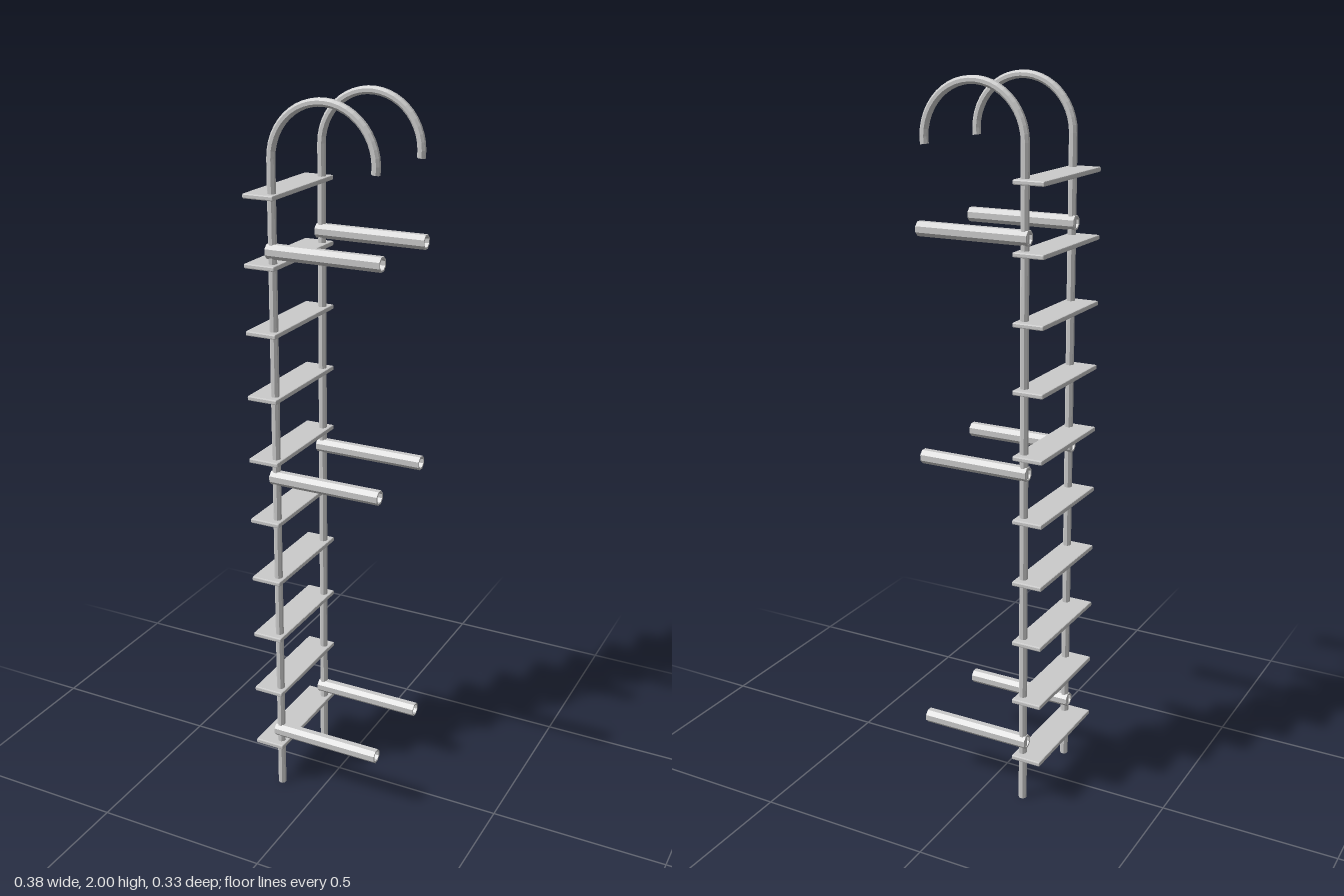
import * as THREE from 'three';
import { RoundedBoxGeometry } from 'three/addons/geometries/RoundedBoxGeometry.js';

const RAIL_X = -0.122, RAIL_Z = 0.136, RAIL_R = 0.0115;
const ARCH_R = 0.1445, ARCH_Y = 1.844;

// Octagon outline with flats facing along the axes
function octagon(radius, Type = THREE.Shape) {
  const points = [];
  for (let i = 0; i < 8; i++) {
    const a = (i + 0.5) * Math.PI / 4;
    points.push(new THREE.Vector2(radius * Math.cos(a), radius * Math.sin(a)));
  }
  return new Type(points);
}

export function createModel() {
  const group = new THREE.Group();
  const material = new THREE.MeshStandardMaterial({ color: 0xcccccc, flatShading: true });
  const add = (name, geometry, x, y, z) => {
    const mesh = new THREE.Mesh(geometry, material);
    mesh.name = name;
    mesh.position.set(x, y, z);
    group.add(mesh);
  };

  // Upright rail
  const rail = new THREE.CylinderGeometry(RAIL_R, RAIL_R, ARCH_Y, 8);
  rail.rotateY(Math.PI / 8);

  // Hook arching over the top, slightly more than half a circle
  const arc = new THREE.Curve();
  arc.getPoint = (t, target = new THREE.Vector3()) => {
    const a = Math.PI - t * (Math.PI + 0.12);
    return target.set(ARCH_R * Math.cos(a), ARCH_R * Math.sin(a), 0);
  };
  const hook = new THREE.ExtrudeGeometry(octagon(RAIL_R), { steps: 24, extrudePath: arc });

  // Hollow wall standoff running along x
  const tube = octagon(0.0208);
  tube.holes.push(octagon(0.0155, THREE.Path));
  const standoff = new THREE.ExtrudeGeometry(tube, { depth: 0.322, bevelEnabled: false });
  standoff.rotateY(Math.PI / 2);

  for (const [side, z] of [['front', RAIL_Z], ['back', -RAIL_Z]]) {
    add(side + 'Rail', rail, RAIL_X, ARCH_Y / 2, z);
    add(side + 'Hook', hook, RAIL_X + ARCH_R, ARCH_Y, z);
    for (const y of [0.183, 0.987, 1.611]) add(side + 'Standoff', standoff, -0.135, y, z);
  }

  // Flat treads with softened edges
  const tread = new RoundedBoxGeometry(0.088, 0.013, 0.334, 1, 0.003);
  for (let i = 0; i < 10; i++) add('tread', tread, -0.146, 0.14 + i * 0.179, 0);

  return group;
}
